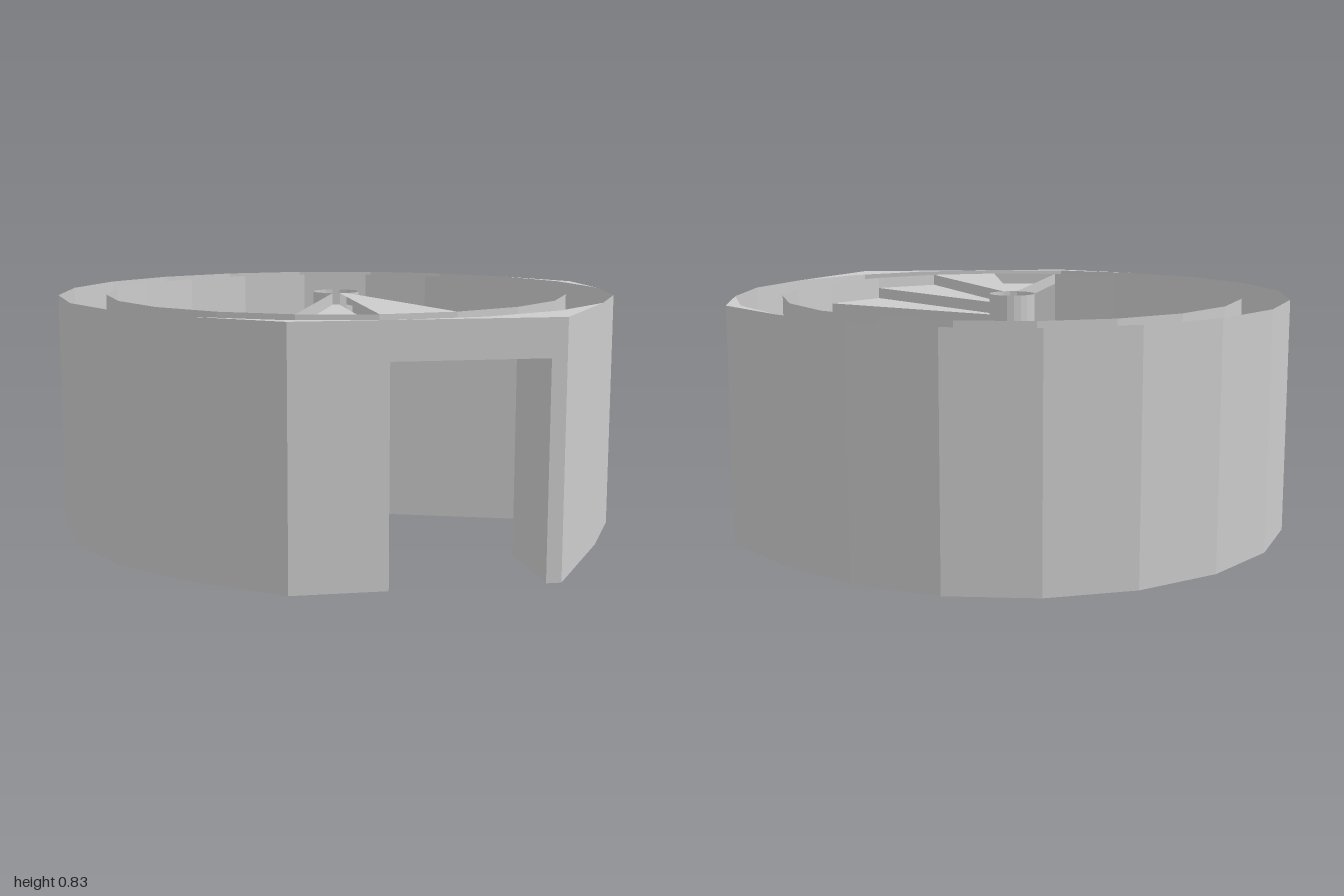
import * as THREE from 'three';

const SIDES = 20, TURN = 18;          // facets per circle, degrees per facet
const H = 0.833;                      // wall height
const R = 0.832, CORE = 0.083;        // inner wall and column radii
const STEPS = 20, RISE = H / STEPS;
const DOOR = 17 * RISE;               // doorway height

const mat = new THREE.MeshStandardMaterial({ color: 0xcccccc, side: THREE.DoubleSide, flatShading: true });

// point on a circle; angle runs from +x towards +z
const polar = (r, deg) => {
  const a = THREE.MathUtils.degToRad(deg);
  return [r * Math.cos(a), r * Math.sin(a)];
};
const arc = (r, from, to) => {
  const pts = [];
  for (let d = from; d <= to; d += TURN) pts.push(polar(r, d));
  return pts;
};

// upright surface following a plan polyline
function upright(pts, y0, y1) {
  const pos = [];
  for (let i = 0; i < pts.length - 1; i++) {
    const [ax, az] = pts[i], [bx, bz] = pts[i + 1];
    pos.push(ax, y0, az, ax, y1, az, bx, y1, bz, ax, y0, az, bx, y1, bz, bx, y0, bz);
  }
  const g = new THREE.BufferGeometry();
  g.setAttribute('position', new THREE.Float32BufferAttribute(pos, 3));
  g.computeVertexNormals();
  return g;
}

// level surface filling a plan outline
function level(pts, y) {
  const shape = new THREE.Shape(pts.map(([x, z]) => new THREE.Vector2(x, -z)));
  return new THREE.ShapeGeometry(shape).rotateX(-Math.PI / 2).translate(0, y, 0);
}

const spoke = (deg) => [polar(CORE, deg), polar(R, deg)];
const wedge = (deg, y) => level([...spoke(deg), ...spoke(deg + TURN).reverse()], y);

export function createModel() {
  const model = new THREE.Group();
  const add = (name, geo, parent = model) => {
    const m = new THREE.Mesh(geo, mat);
    m.name = name;
    parent.add(m);
  };

  // outer wall: round at the back, squared off around the doorway
  const jambL = [0.5, 1], jambR = [0, 1];
  add('outerWall', upright([
    jambR, [-0.31, 1], ...arc(1, 126, 324), [1, -0.31], [1, 0],
    polar(1, 18), polar(1, 36), [0.55, 1], jambL,
  ], 0, H));
  add('outerLintel', upright([jambL, jambR], DOOR, H));

  // small ledges between the squared corners and the round wall line
  add('frontLeftLedge', level([[0.55, 1], ...arc(1, 36, 90)], H));
  add('frontRightLedge', level([[-0.31, 1], ...arc(1, 90, 126)], H));
  add('sideLedge', level([[1, -0.31], ...arc(1, 324, 360)], H));

  // inner wall with two facets opened for the doorway
  const opening = arc(R, 54, 90);
  add('innerWall', upright(arc(R, 90, 414).reverse(), 0, H));
  add('innerLintel', upright([...opening].reverse(), DOOR, H));

  // doorway passage
  add('doorJambLeft', upright([opening[0], jambL], 0, DOOR));
  add('doorJambRight', upright([jambR, opening[2]], 0, DOOR));
  add('doorCeiling', level([...opening, jambR, jambL], DOOR));

  // open centre column
  add('column', new THREE.CylinderGeometry(CORE, CORE, H, SIDES, 1, true).translate(0, H / 2, 0));

  // spiral stair: treads on top, and a stepped underside two rises below them
  const stair = new THREE.Group();
  stair.name = 'stair';
  model.add(stair);
  for (let i = 0; i < STEPS; i++) {
    const y = i * RISE, top = 90 + i * TURN, under = 108 + i * TURN;
    add('riser', upright(spoke(top), y, y + RISE), stair);
    add('tread', wedge(top, y + RISE), stair);
    add('undersideTread', wedge(under, y), stair);
    add('undersideRiser', upright(spoke(under + TURN), y, y + RISE), stair);
  }

  // partition closing the space under the stair beside the door
  add('partition', upright(spoke(18), 0, 14 * RISE));

  return model;
}
